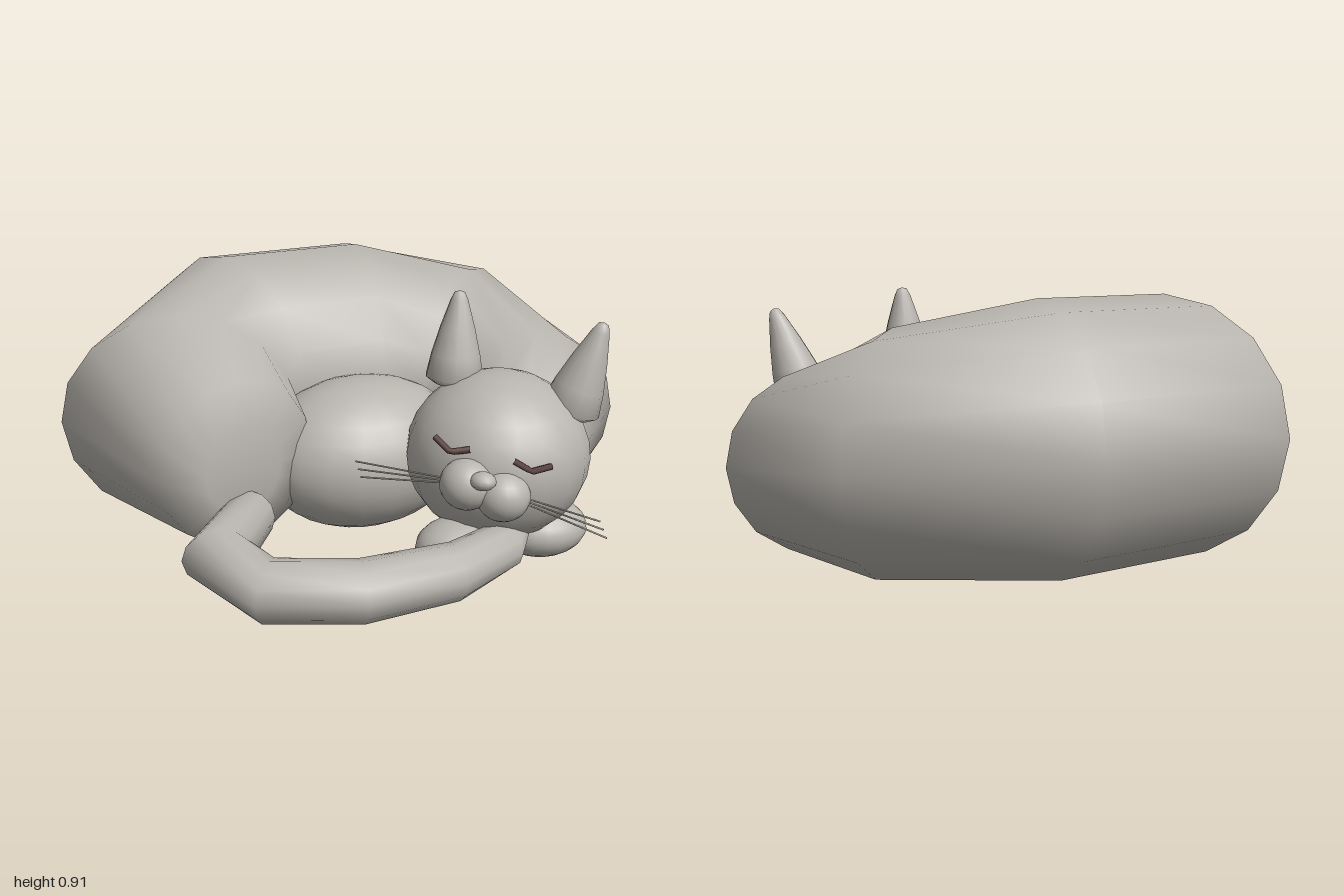
import * as THREE from 'three';

const fur = new THREE.MeshStandardMaterial({ color: 0xb8b4ae });
fur.name = 'grey fur';
const dark = new THREE.MeshStandardMaterial({ color: 0x5a403c });
dark.name = 'dark brown';
const V = (p) => new THREE.Vector3(...p);

// Closed skin over oval rings; each ring is [side A x, z, side B x, z, centre y, half height]
function sweep(name, rings, sides) {
  const pos = [], index = [];
  for (const [ax, az, bx, bz, cy, ry] of rings) {
    for (let j = 0; j < sides; j++) {
      const a = (j / sides) * Math.PI * 2, k = (1 + Math.cos(a)) / 2;
      pos.push(bx + (ax - bx) * k, cy + ry * Math.sin(a), bz + (az - bz) * k);
    }
  }
  for (let i = 0; i < rings.length - 1; i++) {
    for (let j = 0; j < sides; j++) {
      const a = i * sides + j, b = i * sides + ((j + 1) % sides);
      index.push(a, b, b + sides, a, b + sides, a + sides);
    }
  }
  // end caps
  [0, rings.length - 1].forEach((i) => {
    const [ax, az, bx, bz, cy] = rings[i], c = pos.length / 3;
    pos.push((ax + bx) / 2, cy, (az + bz) / 2);
    for (let j = 0; j < sides; j++) {
      const a = i * sides + j, b = i * sides + ((j + 1) % sides);
      if (i === 0) index.push(c, b, a);
      else index.push(c, a, b);
    }
  });
  const geo = new THREE.BufferGeometry();
  geo.setAttribute('position', new THREE.Float32BufferAttribute(pos, 3));
  geo.setIndex(index);
  geo.computeVertexNormals();
  const mesh = new THREE.Mesh(geo, fur);
  mesh.name = name;
  return mesh;
}

function ellipsoid(name, center, radii, turn = 0, w = 20, h = 14) {
  const mesh = new THREE.Mesh(new THREE.SphereGeometry(1, w, h), fur);
  mesh.name = name;
  mesh.position.set(...center);
  mesh.scale.set(...radii);
  mesh.rotation.y = turn;
  return mesh;
}

// Stands a y-axis mesh on point a, pointing to point b
function aim(mesh, a, b) {
  const dir = V(b).sub(V(a)).normalize();
  mesh.position.set(...a);
  mesh.quaternion.setFromUnitVectors(new THREE.Vector3(0, 1, 0), dir);
  return mesh;
}

function ear(name, base, tip) {
  const len = V(base).distanceTo(V(tip));
  const profile = [[0, -0.03], [0.07, -0.02], [0.1, 0.05], [0.085, 0.3], [0.06, 0.6],
    [0.03, 0.9], [0.018, 0.98], [0, 1]].map(([r, t]) => new THREE.Vector2(r, t * len));
  const mesh = new THREE.Mesh(new THREE.LatheGeometry(profile, 14), fur);
  mesh.name = name;
  return aim(mesh, base, tip);
}

function whisker(a, b) {
  const len = V(a).distanceTo(V(b));
  const geo = new THREE.CylinderGeometry(0.003, 0.003, len, 5).translate(0, len / 2, 0);
  const mesh = new THREE.Mesh(geo, fur);
  mesh.name = 'whisker';
  return aim(mesh, a, b);
}

// Closed eye: bent lid line
function eye(name, points) {
  const path = new THREE.CurvePath();
  const p = points.map(V);
  for (let i = 1; i < p.length; i++) path.add(new THREE.LineCurve3(p[i - 1], p[i]));
  const mesh = new THREE.Mesh(new THREE.TubeGeometry(path, 8, 0.011, 6), dark);
  mesh.name = name;
  return mesh;
}

export function createModel() {
  const cat = new THREE.Group();
  cat.name = 'sleepingCat';

  // Curled body from rump round the back to the shoulders
  cat.add(sweep('body', [
    [-0.66, 0.27, -0.38, 0.22, 0.36, 0.15],
    [-0.81, 0.26, -0.24, 0.15, 0.37, 0.29],
    [-1.0, -0.36, -0.2, -0.08, 0.4, 0.385],
    [-0.45, -0.97, -0.16, -0.06, 0.46, 0.45],
    [0.31, -0.99, 0.15, -0.06, 0.46, 0.45],
    [0.94, -0.55, 0.3, -0.04, 0.42, 0.4],
    [1.0, 0.17, 0.36, 0.06, 0.34, 0.32],
    [0.65, 0.5, 0.3, 0.28, 0.34, 0.24],
  ], 16));
  cat.add(ellipsoid('belly', [0.0, 0.28, 0.05], [0.39, 0.275, 0.3]));

  // Tail wrapped round the front
  cat.add(sweep('tail', [
    [-0.43, 0.29, -0.57, 0.18, 0.19, 0.09],
    [-0.57, 0.46, -0.8, 0.43, 0.165, 0.095],
    [-0.52, 0.58, -0.67, 0.75, 0.13, 0.1],
    [-0.31, 0.67, -0.35, 0.88, 0.125, 0.1],
    [0.0, 0.68, -0.01, 0.87, 0.125, 0.095],
    [0.18, 0.61, 0.26, 0.76, 0.13, 0.08],
    [0.31, 0.59, 0.35, 0.65, 0.14, 0.03],
  ], 12));

  // Front paws
  cat.add(ellipsoid('leftPaw', [0.46, 0.1, 0.55], [0.165, 0.098, 0.14]));
  cat.add(ellipsoid('rightPaw', [0.13, 0.11, 0.58], [0.165, 0.095, 0.13]));

  // Head, turned towards the right front
  const head = new THREE.Group();
  head.name = 'head';
  head.add(ellipsoid('skull', [0.32, 0.37, 0.47], [0.315, 0.29, 0.315]));
  head.add(ellipsoid('rightCheek', [0.09, 0.37, 0.67], [0.09, 0.085, 0.09], -0.67));
  head.add(ellipsoid('leftCheek', [0.19, 0.335, 0.73], [0.09, 0.085, 0.09], -0.67));
  head.add(ellipsoid('nose', [0.1, 0.41, 0.755], [0.043, 0.03, 0.04], -0.67, 12, 8));
  head.add(ear('rightEar', [0.22, 0.6, 0.33], [0.24, 0.915, 0.32]));
  head.add(ear('leftEar', [0.535, 0.52, 0.57], [0.62, 0.835, 0.62]));
  head.add(eye('rightEye', [[0.02, 0.51, 0.575], [0.045, 0.475, 0.635], [0.1, 0.485, 0.665]]));
  head.add(eye('leftEye', [[0.21, 0.46, 0.755], [0.26, 0.427, 0.785], [0.33, 0.435, 0.79]]));
  for (const k of [-1, 0, 1]) {
    head.add(whisker([0.03, 0.38 + k * 0.008, 0.64], [-0.21, 0.4 + k * 0.02, 0.48 - k * 0.02]));
    head.add(whisker([0.23, 0.33 + k * 0.008, 0.76], [0.42, 0.27 + k * 0.02, 0.965 - k * 0.02]));
  }
  cat.add(head);
  return cat;
}
